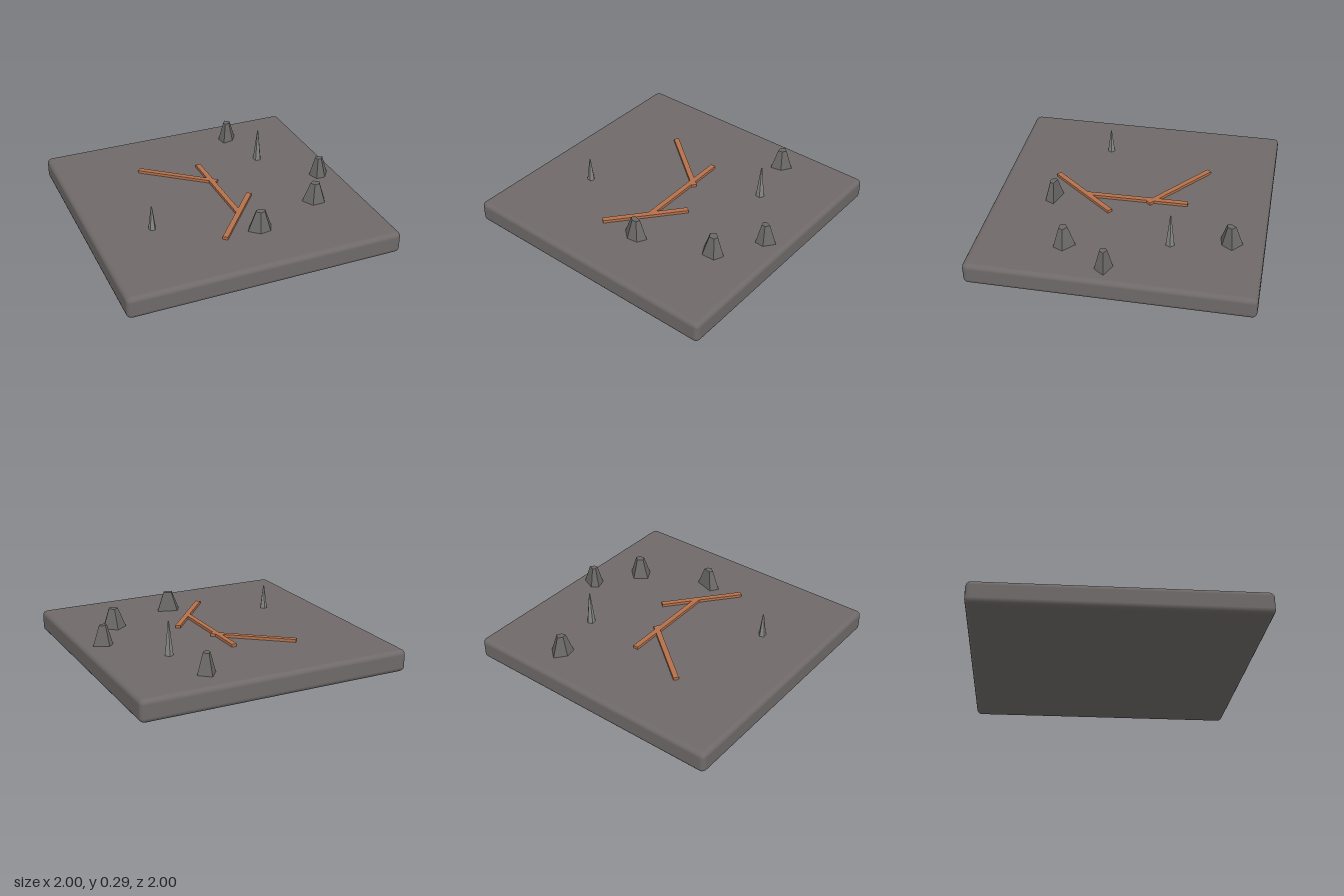
import * as THREE from 'three';
import { RoundedBoxGeometry } from 'three/addons/geometries/RoundedBoxGeometry.js';
import { ConvexGeometry } from 'three/addons/geometries/ConvexGeometry.js';

const TOP = 0.115; // height of the slab surface

export function createModel() {
  const model = new THREE.Group();
  const slabGrey = new THREE.MeshStandardMaterial({ name: 'slabGrey', color: 0x6f6a69 });
  const rockGrey = new THREE.MeshStandardMaterial({ name: 'rockGrey', color: 0x6a6967, flatShading: true });
  const paleStone = new THREE.MeshStandardMaterial({ name: 'paleStone', color: 0x858583, flatShading: true });
  const crackOrange = new THREE.MeshStandardMaterial({ name: 'crackOrange', color: 0xb5714c });

  const add = (name, geometry, material, x, y, z) => {
    const mesh = new THREE.Mesh(geometry, material);
    mesh.name = name;
    mesh.position.set(x, y, z);
    model.add(mesh);
    return mesh;
  };

  // Square slab with softened edges, turned onto its corner
  const slab = add('slab', new RoundedBoxGeometry(1.429, TOP, 1.429, 2, 0.026), slabGrey, 0, TOP / 2, 0);
  slab.rotation.y = Math.PI / 4;

  // Blunt five-sided rocks: centre, then footprint corners in hundredths
  const rocks = [
    [-0.165, -0.6, [[-4.8, -4.8], [3.2, -5.4], [4.6, 1.1], [1.1, 6.3], [-3.9, 2.7]]],
    [0.45, -0.4, [[-4.4, -2.2], [3.8, -5.4], [4.8, 1.6], [1.1, 5.1], [-4.4, 2.2]]],
    [0.515, -0.137, [[-4.8, -4.4], [3.8, -4.9], [6, 0.6], [1.1, 6], [-6, 3.8]]],
    [0.347, 0.228, [[-6, 0], [4.2, -5.4], [5.9, 0], [2.2, 4.8], [-4.8, 5.3]]],
  ];
  for (const [x, z, foot] of rocks) {
    const ring = (scale, y) => foot.map(([a, b]) => new THREE.Vector3(a * scale / 100, y, b * scale / 100));
    add('rock', new ConvexGeometry([...ring(1, -0.01), ...ring(0.38, 0.103)]), rockGrey, x, TOP, z);
  }

  // Slender pointed spikes: x, z, height, radius
  for (const [x, z, h, r] of [[0.085, -0.44, 0.175, 0.023], [-0.148, 0.435, 0.128, 0.02]]) {
    add('spike', new THREE.CylinderGeometry(0.003, r, h, 5), paleStone, x, TOP + h / 2, z);
  }

  // Flat branching strips: start x, z and end x, z
  const strips = [
    [-0.46, -0.055, -0.02, -0.105],
    [-0.184, -0.228, 0.205, 0.15],
    [0.183, -0.05, 0.224, 0.388],
  ];
  for (const [x1, z1, x2, z2] of strips) {
    const strip = add('strip', new THREE.BoxGeometry(Math.hypot(x2 - x1, z2 - z1), 0.025, 0.027),
      crackOrange, (x1 + x2) / 2, TOP + 0.0025, (z1 + z2) / 2);
    strip.rotation.y = -Math.atan2(z2 - z1, x2 - x1);
  }
  return model;
}
